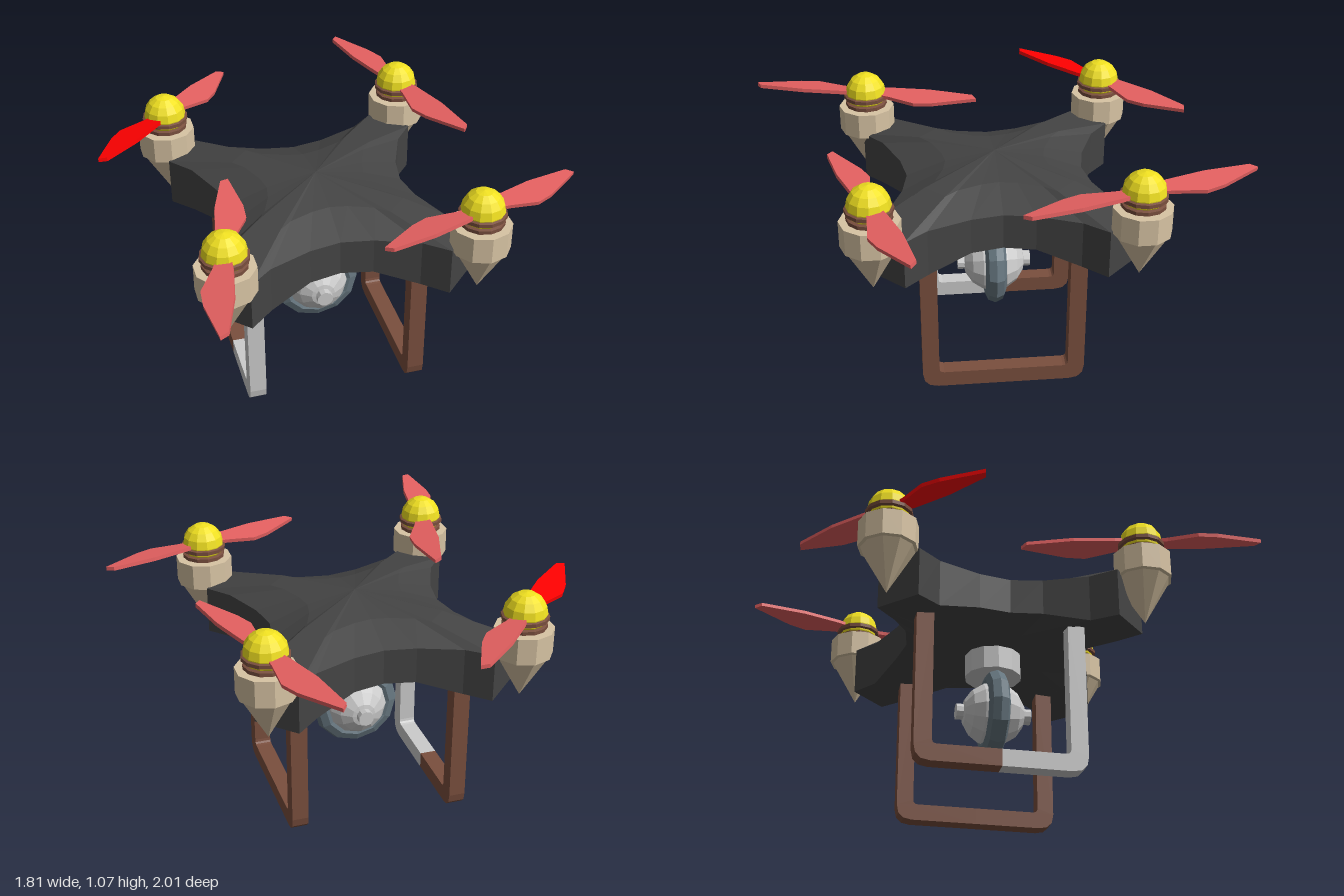
import * as THREE from 'three';

const mat = (color) => new THREE.MeshStandardMaterial({ color, flatShading: true });
const DARK = mat(0x444444), CREAM = mat(0xd8c4a4), BROWN = mat(0x7a4f3e), YELLOW = mat(0xf0e020);
const STEEL = mat(0x66767f), GREY = mat(0xcccccc), SALMON = mat(0xe46060), RED = mat(0xff0000);
const CX = -0.063; // centre of the body in x

function part(name, geometry, material, parent) {
  const mesh = new THREE.Mesh(geometry, material);
  mesh.name = name;
  parent.add(mesh);
  return mesh;
}

const lathe = (points, sides) =>
  new THREE.LatheGeometry(points.map(([r, y]) => new THREE.Vector2(r, y)), sides);

// Four-armed shell: rings of one star outline, with arched lower edges between the arms
function bodyGeometry() {
  const eighth = [[0.367, 0, 0.665], [0.39, 0.13, 0.662], [0.46, 0.305, 0.615], [0.54, 0.4, 0.61]];
  const quarter = [...eighth, ...eighth.slice(1).reverse().map(([a, b, y]) => [b, a, y])];
  const outline = [];
  for (let q = 0; q < 4; q++) {
    const c = Math.round(Math.cos(q * Math.PI / 2)), s = Math.round(Math.sin(q * Math.PI / 2));
    for (const [a, b, y] of quarter) outline.push([a * c - b * s, a * s + b * c, y]);
  }
  const n = outline.length;
  const rings = [
    [0, () => 0.915], [0.56, () => 0.876], [1, () => 0.815],
    [1, (y) => y], [0.6, () => 0.635], [0, () => 0.64],
  ];
  const positions = [], index = [];
  rings.forEach(([scale, height]) =>
    outline.forEach(([x, z, y]) => positions.push(x * scale, height(y), z * scale)));
  for (let r = 0; r < rings.length - 1; r++) {
    for (let i = 0; i < n; i++) {
      const j = (i + 1) % n, a = r * n + i, b = r * n + j;
      if (r > 0) index.push(a, b, b + n);
      if (r < rings.length - 2 || rings[r][0] > 0) index.push(a, b + n, a + n);
    }
  }
  const g = new THREE.BufferGeometry();
  g.setAttribute('position', new THREE.Float32BufferAttribute(positions, 3));
  g.setIndex(index);
  g.computeVertexNormals();
  return g;
}

// Sickle-shaped blade pointing along -z, bulging towards +x
function bladeGeometry(length) {
  const outline = [[0.03, 0.025], [0.108, 0.043], [0.228, 0.084], [0.31, 0.074], [0.497, 0.015],
    [0.475, -0.015], [0.28, -0.037], [0.11, -0.034], [0.03, -0.025]];
  const k = length / 0.49;
  const shape = new THREE.Shape(outline.map(([u, v]) => new THREE.Vector2(v, u * k)));
  const g = new THREE.ExtrudeGeometry(shape, { depth: 0.016, bevelEnabled: false });
  return g.translate(0, 0, -0.008).rotateX(-Math.PI / 2).rotateZ(-0.12);
}

// Half of a U-shaped landing skid, reaching along +z (dir 1) or -z (dir -1)
function skidHalf(dir) {
  const h = 0.3425, t = 0.07, top = 0.645;
  const s = new THREE.Shape();
  s.moveTo(0, 0);
  s.lineTo(h - 0.065, 0);
  s.quadraticCurveTo(h, 0, h, 0.065);
  s.lineTo(h, top);
  s.lineTo(h - t, top);
  s.lineTo(h - t, t + 0.02);
  s.quadraticCurveTo(h - t, t, h - t - 0.02, t);
  s.lineTo(0, t);
  const g = new THREE.ExtrudeGeometry(s, { depth: t, bevelEnabled: false, curveSegments: 3 });
  return g.translate(0, 0, -t / 2).rotateY(-dir * Math.PI / 2);
}

export function createModel() {
  const model = new THREE.Group();
  model.name = 'drone';

  part('body', bodyGeometry(), DARK, model).position.x = CX;

  // Rotors: hub position, direction of the first blade, blade length, tilt, second blade material
  const rotors = [
    ['backRight', -0.587, -0.522, 0.308, -0.325, 0.45, 0.04, RED],
    ['backLeft', 0.455, -0.525, -0.155, -0.47, 0.495, 0, SALMON],
    ['frontRight', -0.552, 0.523, 0.1, -0.475, 0.485, 0.015, SALMON],
    ['frontLeft', 0.458, 0.523, 0.425, -0.15, 0.455, 0, SALMON],
  ];
  for (const [name, x, z, dx, dz, length, tilt, second] of rotors) {
    const rotor = new THREE.Group();
    rotor.name = name + 'Rotor';
    rotor.position.set(x, 0, z);
    model.add(rotor);
    part('motorPod', lathe([[0, 0.61], [0.108, 0.8], [0.12, 0.805], [0.12, 0.915], [0, 0.915]], 10), CREAM, rotor);
    part('rotorNeck', lathe([[0.07, 0.91], [0.09, 0.92], [0.09, 0.935], [0.075, 0.94],
      [0.075, 0.95], [0.096, 0.955], [0.096, 0.97], [0.06, 0.985]], 12), BROWN, rotor);
    part('rotorCap', new THREE.SphereGeometry(0.088, 12, 8), YELLOW, rotor).position.y = 0.978;

    const propeller = new THREE.Group();
    propeller.name = 'propeller';
    propeller.position.y = 0.978;
    propeller.rotation.order = 'YXZ';
    propeller.rotation.set(-tilt, Math.atan2(-dx, -dz), 0);
    rotor.add(propeller);
    part('blade', bladeGeometry(length), SALMON, propeller);
    part('blade', bladeGeometry(length), second, propeller).rotation.y = Math.PI;
  }

  // Landing skids
  for (const [name, x, z, front] of [['leftSkid', 0.285, -0.003, BROWN], ['rightSkid', -0.402, -0.038, GREY]]) {
    const skid = new THREE.Group();
    skid.name = name;
    skid.position.set(x, 0, z);
    model.add(skid);
    part('frontLeg', skidHalf(1), front, skid);
    part('backLeg', skidHalf(-1), BROWN, skid);
  }

  // Camera hanging under the body
  const camera = new THREE.Group();
  camera.name = 'cameraGimbal';
  camera.position.set(CX - 0.004, 0.375, 0.004);
  model.add(camera);
  part('gimbalMount', new THREE.CylinderGeometry(0.12, 0.12, 0.12, 12), GREY, camera).position.y = 0.225;
  part('gimbalRing', new THREE.TorusGeometry(0.143, 0.045, 8, 12), STEEL, camera);
  part('cameraBall', new THREE.SphereGeometry(0.135, 12, 8).rotateX(Math.PI / 2), GREY, camera);
  part('lensBarrel', new THREE.CylinderGeometry(0.034, 0.034, 0.316, 10).rotateX(Math.PI / 2), GREY, camera);

  return model;
}
